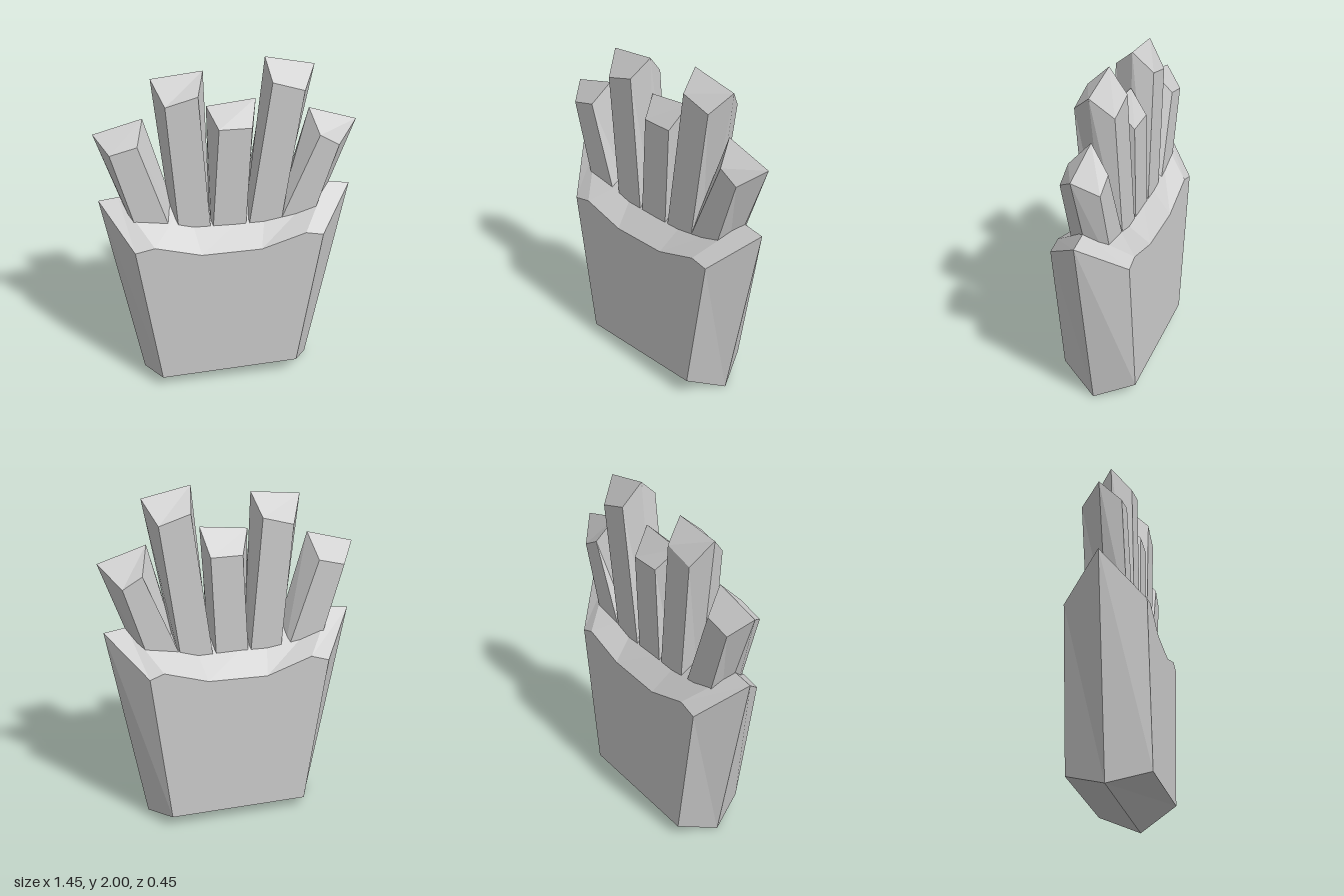
import * as THREE from 'three';

const material = new THREE.MeshStandardMaterial({ color: 0xcccccc, flatShading: true });

// Faceted slab: rings of [x, y] corners, counter-clockwise from the front,
// one per depth in zs (back to front), joined by quads and capped at both ends.
function slab(name, rings, zs) {
  const pos = [];
  const put = (r, i) => pos.push(rings[r][i][0], rings[r][i][1], zs[r]);
  const n = rings[0].length;
  const last = rings.length - 1;
  for (let r = 0; r < last; r++) {
    for (let i = 0; i < n; i++) {
      const j = (i + 1) % n;
      put(r, i); put(r, j); put(r + 1, j);
      put(r, i); put(r + 1, j); put(r + 1, i);
    }
  }
  for (const r of [0, last]) {
    const outline = rings[r].map(([x, y]) => new THREE.Vector2(x, y));
    for (const [a, b, c] of THREE.ShapeUtils.triangulateShape(outline, [])) {
      put(r, a);
      put(r, r ? b : c);
      put(r, r ? c : b);
    }
  }
  const geometry = new THREE.BufferGeometry();
  geometry.setAttribute('position', new THREE.Float32BufferAttribute(pos, 3));
  geometry.computeVertexNormals();
  const mesh = new THREE.Mesh(geometry, material);
  mesh.name = name;
  return mesh;
}

// Each fry: corners bottom left, bottom right, top right, top left
// for the wide middle ring and the inset face ring.
const FRIES = [
  { mid: [[-0.50, 0.9], [-0.235, 0.9], [-0.455, 1.685], [-0.725, 1.61]],
    face: [[-0.478, 0.9], [-0.287, 0.9], [-0.495, 1.57], [-0.645, 1.53]] },
  { mid: [[-0.305, 0.9], [-0.09, 0.9], [-0.125, 1.94], [-0.405, 1.91]],
    face: [[-0.274, 0.9], [-0.095, 0.9], [-0.165, 1.84], [-0.34, 1.79]] },
  { mid: [[-0.10, 0.9], [0.105, 0.9], [0.16, 1.765], [-0.11, 1.735]],
    face: [[-0.098, 0.9], [0.09, 0.9], [0.125, 1.64], [-0.055, 1.64]] },
  { mid: [[0.095, 0.9], [0.285, 0.9], [0.475, 1.945], [0.205, 2.0]],
    face: [[0.097, 0.9], [0.28, 0.9], [0.405, 1.84], [0.23, 1.895]] },
  { mid: [[0.255, 0.9], [0.48, 0.9], [0.725, 1.605], [0.455, 1.69]],
    face: [[0.237, 0.9], [0.433, 0.9], [0.61, 1.505], [0.50, 1.57]] },
];

export function createModel() {
  const model = new THREE.Group();
  model.name = 'friesInCarton';

  // Carton: bevelled box with a scooped rim
  const front = [[-0.415, 0.075], [0.395, 0.12], [0.52, 1.005], [0.42, 1.025],
    [0.17, 0.94], [-0.17, 0.93], [-0.43, 1.0], [-0.54, 0.975]];
  const middle = [[-0.51, 0], [0.50, 0], [0.71, 1.20], [0.58, 1.22],
    [0.23, 1.155], [-0.23, 1.16], [-0.61, 1.215], [-0.72, 1.20]];
  const back = [[-0.415, 0.075], [0.395, 0.075], [0.50, 0.99], [0.42, 1.02],
    [0.17, 0.94], [-0.17, 0.93], [-0.43, 1.02], [-0.535, 0.985]];
  model.add(slab('carton', [back, middle, front], [-0.225, 0, 0.225]));

  // Fries standing in the carton, their back faces a touch lower
  const fries = new THREE.Group();
  fries.name = 'fries';
  FRIES.forEach(({ mid, face }, i) => {
    const rear = face.map(([x, y]) => [x, y > 1 ? y - 0.02 : y]);
    fries.add(slab(`fry${i + 1}`, [rear, mid, face], [-0.11, 0, 0.11]));
  });
  model.add(fries);
  return model;
}
